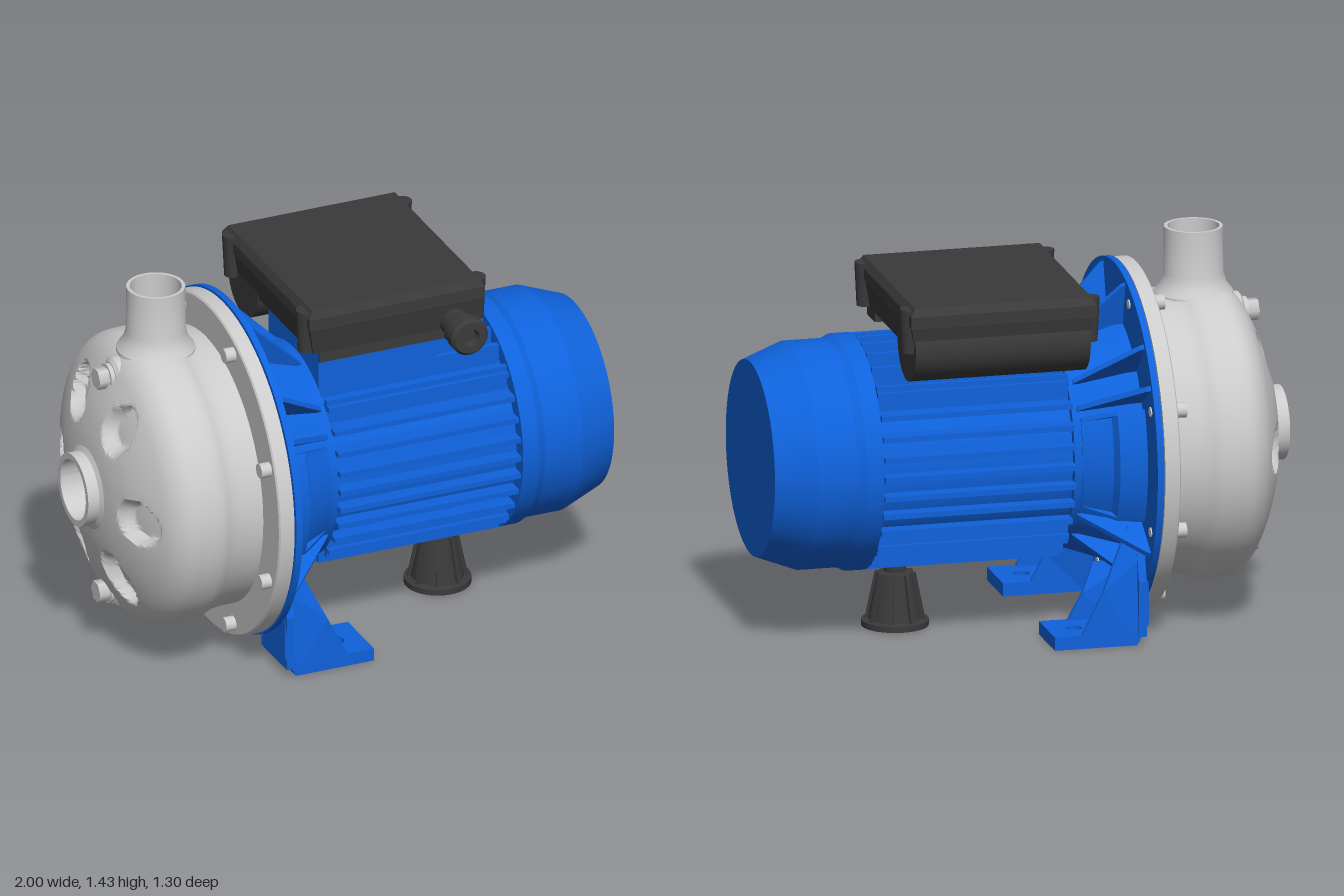
import * as THREE from 'three';
import { toCreasedNormals } from 'three/addons/utils/BufferGeometryUtils.js';

const AXIS = 0.667; // height of the shaft line
const grey = new THREE.MeshStandardMaterial({ color: 0xcccccc, side: THREE.DoubleSide });
const blue = new THREE.MeshStandardMaterial({ color: 0x0f62dc, side: THREE.DoubleSide });
const black = new THREE.MeshStandardMaterial({ color: 0x3a3a3a, side: THREE.DoubleSide });

export function createModel() {
  const model = new THREE.Group();
  model.name = 'motorPump';
  const shaft = new THREE.Group(); // everything centred on the shaft line
  shaft.name = 'shaftAssembly';
  shaft.position.y = AXIS;
  model.add(shaft);

  const add = (name, geo, mat, parent = model) => {
    const m = new THREE.Mesh(geo, mat);
    m.name = name;
    parent.add(m);
    return m;
  };
  // Profile of [x, radius] turned about the x axis
  const turnX = (pts, seg = 72, start = 0, len = Math.PI * 2) =>
    new THREE.LatheGeometry(pts.map(([x, r]) => new THREE.Vector2(r, x)), seg, start, len).rotateZ(-Math.PI / 2);
  const crease = (g, a = 0.5) => toCreasedNormals(g, a);
  // Cylinder along x from x0 to x1
  const rodX = (x0, x1, r, y, z, seg = 20) =>
    new THREE.CylinderGeometry(r, r, x1 - x0, seg).rotateZ(Math.PI / 2).translate((x0 + x1) / 2, y, z);
  const box = (x0, x1, y0, y1, z0, z1) =>
    new THREE.BoxGeometry(x1 - x0, y1 - y0, z1 - z0).translate((x0 + x1) / 2, (y0 + y1) / 2, (z0 + z1) / 2);
  // Box whose top and bottom are drawn in by the given amounts
  const taperBox = (x0, x1, y0, y1, z0, z1, low, high) => {
    const g = box(x0, x1, y0, y1, z0, z1), p = g.attributes.position;
    for (let i = 0; i < p.count; i++) {
      const d = p.getY(i) > (y0 + y1) / 2 ? high : low;
      p.setX(i, p.getX(i) + (p.getX(i) < (x0 + x1) / 2 ? d : -d));
      p.setZ(i, p.getZ(i) + (p.getZ(i) < (z0 + z1) / 2 ? d : -d));
    }
    g.computeVertexNormals();
    return g;
  };
  // Flat plate: outline in the x-y plane with thickness along z, centred
  const plate = (pts, t) =>
    new THREE.ExtrudeGeometry(new THREE.Shape(pts.map((p) => new THREE.Vector2(...p))), { depth: t, bevelEnabled: false })
      .translate(0, 0, -t / 2);

  // Pump casing: rounded bowl with six pressed dimples
  const bowl = new THREE.CatmullRomCurve3([
    [-0.945, 0.155], [-0.935, 0.22], [-0.91, 0.32], [-0.865, 0.43], [-0.82, 0.505], [-0.77, 0.543], [-0.71, 0.552],
    [-0.64, 0.55], [-0.59, 0.53], [-0.54, 0.521], [-0.47, 0.52],
  ].map(([x, r]) => new THREE.Vector3(x, r, 0))).getSpacedPoints(60).map((v) => [v.x, v.y]);
  const bowlGeo = turnX(bowl, 144), bp = bowlGeo.attributes.position;
  for (let i = 0; i < bp.count; i++) {
    const y = bp.getY(i), z = bp.getZ(i), r = Math.hypot(y, z);
    if (bp.getX(i) > -0.75) continue;
    const a = Math.atan2(y, z), step = Math.PI / 3;
    const da = (a - Math.round(a / step) * step) * r;
    const q = (da / 0.085) ** 2 + ((r - 0.35) / 0.105) ** 2;
    if (q < 1) bp.setX(i, bp.getX(i) + 0.05 * Math.min(1, 2.2 * (1 - q)));
  }
  bowlGeo.computeVertexNormals();
  add('pumpCasing', crease(bowlGeo, 0.7), grey, shaft);
  add('inletPort', crease(turnX([[-0.78, 0], [-0.78, 0.115], [-1, 0.115], [-1, 0.138], [-0.955, 0.138], [-0.945, 0.157]])), grey, shaft);
  add('casingFlange', crease(turnX([[-0.46, 0.5], [-0.46, 0.638], [-0.455, 0.645], [-0.4, 0.645], [-0.4, 0]], 96)), grey, shaft);

  // Outlet pipe with a flared root
  const outlet = new THREE.LatheGeometry([
    [0.15, 1.14], [0.145, 1.19], [0.122, 1.22], [0.11, 1.26], [0.108, 1.435], [0.095, 1.435], [0.095, 1.16], [0, 1.16],
  ].map((p) => new THREE.Vector2(...p)), 48);
  add('outletPipe', crease(outlet), grey).position.x = -0.67;

  // Vent and drain plugs on bosses
  for (const s of [1, -1]) {
    const y = s * 0.435;
    add('plugBoss', crease(turnX([[-0.852, 0], [-0.852, 0.055], [-0.84, 0.07], [-0.74, 0.085]], 32)), grey, shaft).position.y = y;
    add('plugWasher', rodX(-0.868, -0.85, 0.05, y, 0), grey, shaft);
    add('plugHead', rodX(-0.91, -0.865, 0.042, y, 0, 6), grey, shaft);
  }
  // Flange bolts
  for (let k = 0; k < 8; k++) {
    const a = (k + 0.5) * Math.PI / 4, y = 0.595 * Math.sin(a), z = 0.595 * Math.cos(a);
    add('boltHead', rodX(-0.5, -0.455, 0.028, y, z), grey, shaft);
    add('boltTip', rodX(-0.4, -0.365, 0.018, y, z), grey, shaft);
  }

  // Bracket: mounting disc, bell, side pads and ribs
  add('bracketFlange', crease(turnX([[-0.395, 0], [-0.395, 0.65], [-0.37, 0.65], [-0.37, 0]], 96)), blue, shaft);
  add('bracketBell', crease(turnX([[-0.37, 0.47], [-0.33, 0.465], [-0.16, 0.405], [-0.12, 0.405], [-0.12, 0]])), blue, shaft);
  for (const mid of [0, Math.PI]) {
    add('sidePad', crease(turnX([[-0.37, 0.505], [-0.27, 0.49], [-0.255, 0.455], [-0.15, 0.41], [-0.15, 0.38]], 20, mid - 0.42, 0.84)), blue, shaft);
    for (const e of [-0.42, 0.42]) {
      const end = plate([[-0.37, 0.4], [-0.37, 0.505], [-0.27, 0.49], [-0.15, 0.41], [-0.15, 0.38]], 0.015);
      add('padEnd', end.rotateX(Math.PI / 2 + mid + e), blue, shaft);
    }
  }
  for (const deg of [15, 45, 60, 120, 137]) for (const s of [1, -1]) {
    const rib = plate([[-0.375, 0.35], [-0.375, 0.635], [-0.355, 0.625], [-0.14, 0.41], [-0.14, 0.35]], 0.02);
    add('bracketRib', rib.rotateX(s * deg * Math.PI / 180), blue, shaft);
  }

  // Finned motor body
  add('motorBody', crease(turnX([[-0.14, 0], [-0.14, 0.375], [0.61, 0.375], [0.61, 0]])), blue, shaft);
  for (let side = 0; side < 4; side++) for (let k = -4; k <= 4; k++) {
    const off = k * 0.0725, tip = Math.sqrt(0.432 ** 2 - off ** 2);
    const fin = box(-0.12, 0.6, 0.2, tip, off - 0.01, off + 0.01);
    add('coolingFin', fin.rotateX(side * Math.PI / 2), blue, shaft);
  }
  add('fanCover', crease(turnX([[0.605, 0], [0.605, 0.435], [0.67, 0.435], [0.7, 0.42], [0.85, 0.42], [1, 0.363], [1, 0]], 96), 0.2), blue, shaft);
  add('boxPedestal', box(-0.12, 0.35, 0.95, 1.16, -0.225, 0.225), blue);

  // Bracket legs, mirrored
  for (const s of [1, -1]) {
    const leg = new THREE.Group();
    leg.name = 'bracketLeg';
    leg.scale.z = s;
    model.add(leg);
    const foot = new THREE.Shape([[-0.33, 0.265], [-0.02, 0.265], [-0.02, 0.5], [-0.33, 0.5]].map((p) => new THREE.Vector2(...p)));
    foot.holes.push(new THREE.Path().absarc(-0.12, 0.385, 0.03, 0, Math.PI * 2, true));
    const footGeo = new THREE.ExtrudeGeometry(foot, { depth: 0.05, bevelEnabled: false }).rotateX(Math.PI / 2).translate(0, 0.05, 0);
    add('footPlate', footGeo, blue, leg);
    const wall = plate([[0.27, 0.03], [0.5, 0.03], [0.5, 0.24], [0.44, 0.42], [0.27, 0.3]], 0.03);
    add('legWall', wall.rotateY(-Math.PI / 2).translate(-0.352, 0, 0), blue, leg);
    // gussets lean toward the shaft above their bend
    const lean = (pts, z, bend, slope) => {
      const g = plate(pts, 0.02), p = g.attributes.position;
      for (let i = 0; i < p.count; i++) p.setZ(i, p.getZ(i) + z - Math.max(0, p.getY(i) - bend) * slope);
      g.computeVertexNormals();
      return g;
    };
    add('outerGusset', lean([[-0.33, 0], [-0.12, 0.04], [-0.205, 0.21], [-0.31, 0.435], [-0.375, 0.34], [-0.375, 0.21], [-0.375, 0.08]], 0.49, 0.21, 0.27), blue, leg);
    add('innerGusset', lean([[-0.33, 0], [-0.12, 0.04], [-0.18, 0.15], [-0.23, 0.25], [-0.375, 0.25], [-0.375, 0.15], [-0.375, 0.08]], 0.275, 0.15, 0.45), blue, leg);
  }

  // Rear support foot, hollow underneath and ribbed
  const rear = new THREE.Group();
  rear.name = 'rearFoot';
  rear.position.x = 0.455;
  model.add(rear);
  const cone = new THREE.LatheGeometry([
    [0, 0.17], [0.06, 0.17], [0.095, 0], [0.124, 0], [0.124, 0.022], [0.098, 0.026], [0.064, 0.2], [0.04, 0.204], [0.04, 0.25], [0, 0.25],
  ].map((p) => new THREE.Vector2(...p)), 40);
  add('footCone', crease(cone), black, rear);
  for (let k = 0; k < 8; k++) {
    add('footRib', plate([[0.05, 0.02], [0.112, 0.02], [0.075, 0.2], [0.05, 0.2]], 0.014).rotateY((k + 0.5) * Math.PI / 4), black, rear);
  }

  // Terminal box with lid, corner lugs and capacitor housing
  add('terminalBoxBase', taperBox(-0.165, 0.525, 1.155, 1.262, -0.525, 0.255, 0.02, 0), black);
  add('terminalBoxGasket', box(-0.155, 0.515, 1.25, 1.275, -0.52, 0.245), black);
  add('lidRim', box(-0.17, 0.53, 1.268, 1.308, -0.535, 0.26), black);
  add('lidTop', taperBox(-0.17, 0.53, 1.308, 1.338, -0.535, 0.26, 0, 0.018), black);
  add('boxFoot', box(-0.12, 0.5, 1.115, 1.16, 0.12, 0.235), black);
  add('capacitorHousing', rodX(-0.15, 0.51, 0.135, 1.167, -0.388, 48), black);
  for (const x of [-0.158, 0.518]) for (const z of [-0.468, 0.2]) {
    add('cornerLug', new THREE.CylinderGeometry(0.038, 0.03, 0.165, 20).translate(x, 1.243, z), black);
  }

  // Cable gland
  const gland = (r, z0, z1, seg) => new THREE.CylinderGeometry(r, r, z1 - z0, seg).rotateX(Math.PI / 2).translate(0.415, 1.18, (z0 + z1) / 2);
  add('glandNeck', gland(0.055, 0.23, 0.35, 32), black);
  add('glandCollar', gland(0.068, 0.285, 0.345, 6), black);
  const nut = new THREE.LatheGeometry([[0.04, 0.34], [0.073, 0.34], [0.073, 0.38], [0.062, 0.393], [0.035, 0.393], [0.03, 0.36], [0, 0.36]]
    .map((p) => new THREE.Vector2(...p)), 32).rotateX(Math.PI / 2).translate(0.415, 1.18, 0);
  add('glandNut', crease(nut), black);

  return model;
}
